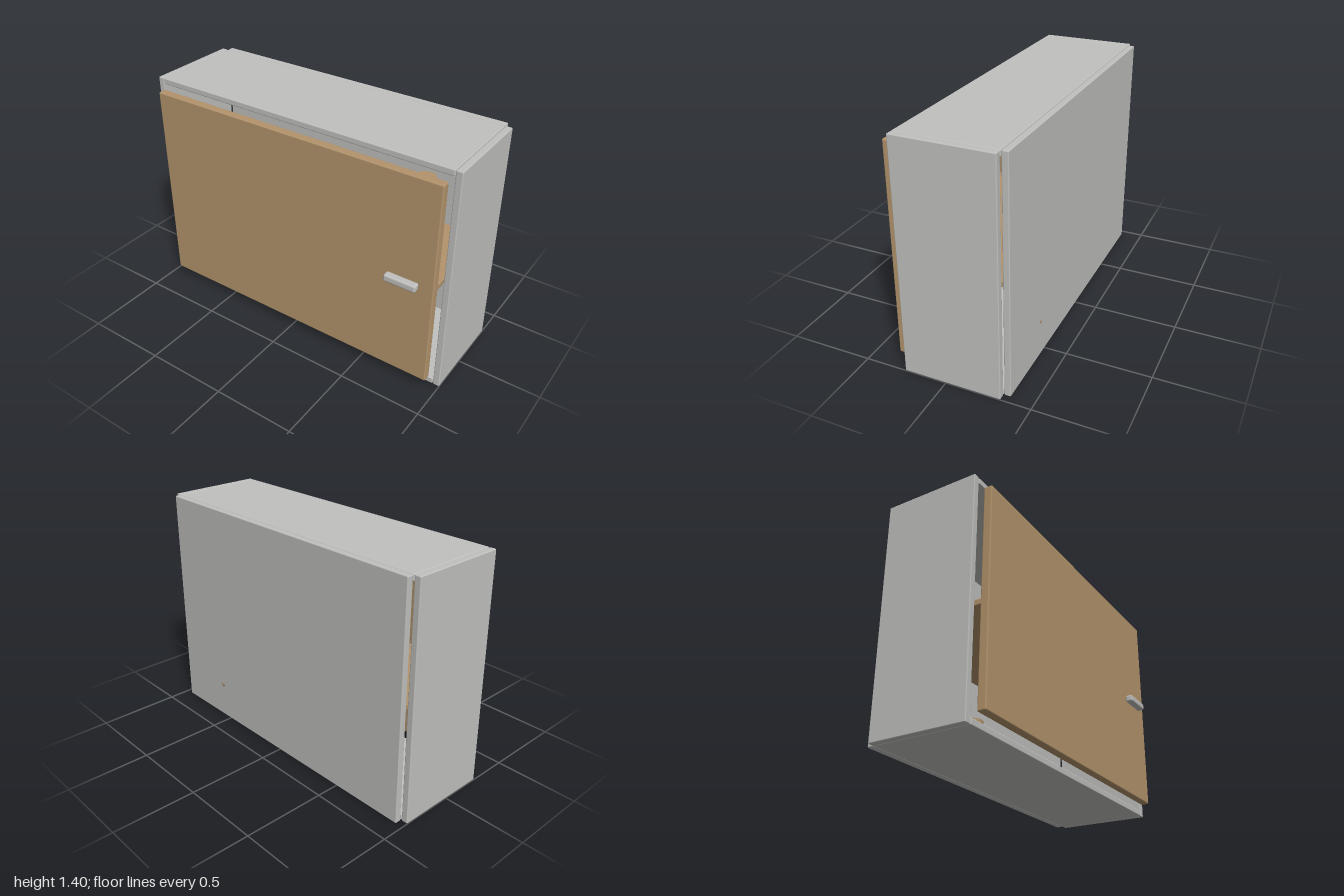
import * as THREE from 'three';
import { RoundedBoxGeometry } from 'three/addons/geometries/RoundedBoxGeometry.js';

const grey = new THREE.MeshStandardMaterial({ color: 0xc0c0be });
grey.name = 'light grey';
const wood = new THREE.MeshStandardMaterial({ color: 0xb3946c });
wood.name = 'tan wood';

export function createModel() {
  const cabinet = new THREE.Group();
  cabinet.name = 'wallCabinet';

  // Softly bevelled panel given by its limits on each axis
  function panel(name, material, [x0, x1], [y0, y1], [z0, z1], bevel = 0.006) {
    const geometry = new RoundedBoxGeometry(x1 - x0, y1 - y0, z1 - z0, 2, bevel);
    const mesh = new THREE.Mesh(geometry, material);
    mesh.name = name;
    mesh.position.set((x0 + x1) / 2, (y0 + y1) / 2, (z0 + z1) / 2);
    cabinet.add(mesh);
  }

  // Round vessel standing on a surface
  function vessel(name, material, x, y, z, topRadius, bottomRadius, height) {
    const geometry = new THREE.CylinderGeometry(topRadius, bottomRadius, height, 32);
    const mesh = new THREE.Mesh(geometry, material);
    mesh.name = name;
    mesh.position.set(x, y + height / 2, z);
    cabinet.add(mesh);
  }

  // Carcass
  panel('leftSide', grey, [0.96, 1], [0, 1.4], [-0.325, 0.253]);
  panel('rightSide', grey, [-1, -0.96], [0, 1.4], [-0.325, 0.253]);
  panel('topPanel', grey, [-0.957, 0.957], [1.363, 1.4], [-0.325, 0.253]);
  panel('bottomPanel', grey, [-0.957, 0.957], [0, 0.038], [-0.325, 0.253]);
  panel('backPanel', grey, [-0.957, 0.957], [0, 1.4], [-0.366, -0.328]);
  panel('shelf', wood, [-0.92, 0.92], [0.645, 0.681], [-0.32, 0.265]);

  // Door and its pull
  panel('door', wood, [-0.94, 0.94], [0.065, 1.34], [0.271, 0.322], 0.008);
  panel('handle', grey, [0.66, 0.855], [0.68, 0.725], [0.322, 0.368], 0.012);

  // Stored vessels; the bowl just touches through the back panel
  vessel('bowl', wood, 0.56, 0.038, -0.268, 0.1, 0.085, 0.192);
  vessel('greyJar', grey, -0.6, 0.038, -0.1, 0.06, 0.06, 0.28);
  vessel('woodJar', wood, -0.445, 0.038, -0.1, 0.055, 0.055, 0.22);
  vessel('shelfJar', wood, 0.56, 0.681, -0.26, 0.06, 0.06, 0.31);

  return cabinet;
}
